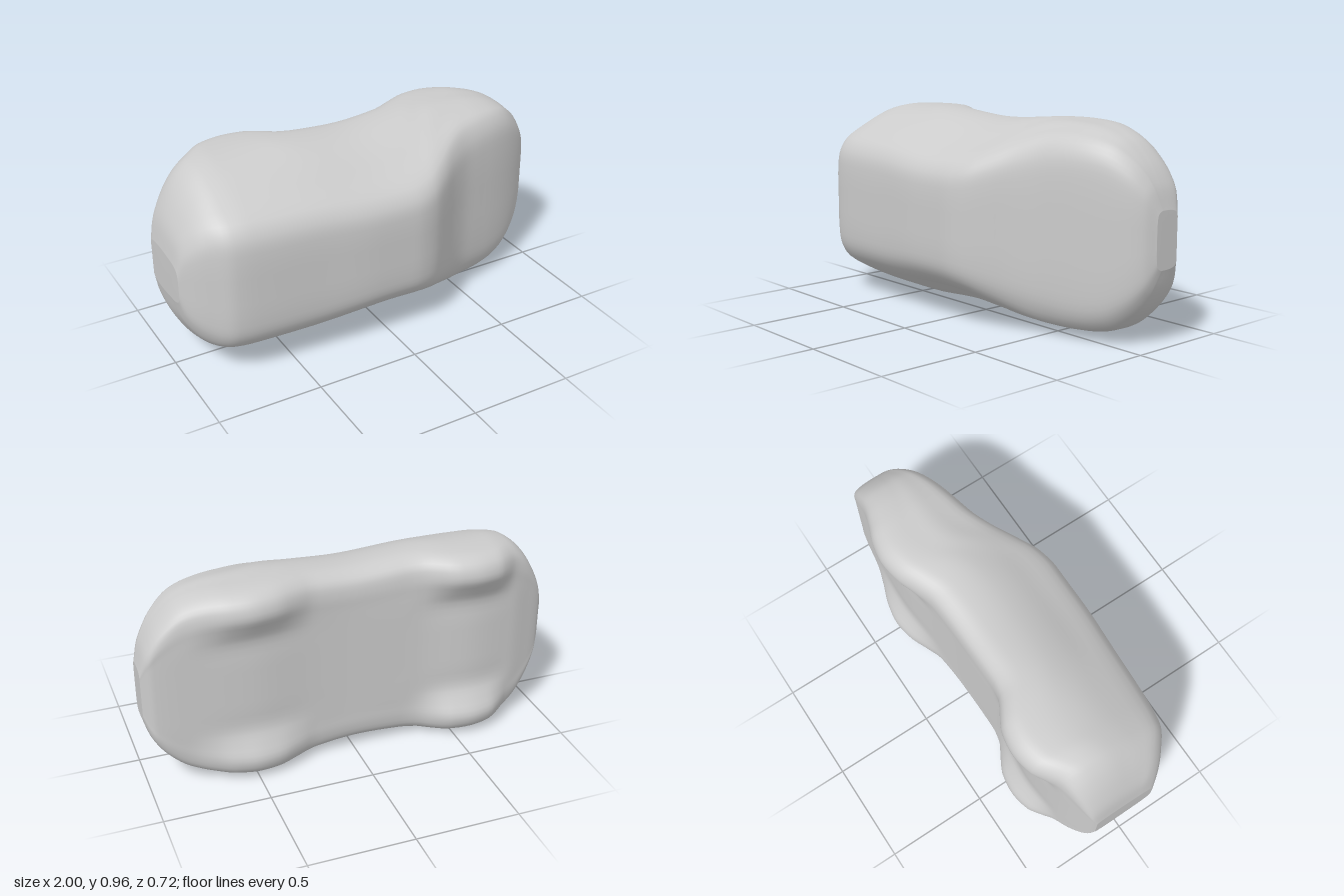
import * as THREE from 'three';

// Smooth interpolation through [x, value] pairs
function smooth(pts) {
  const n = pts.length;
  const slope = i => (pts[i + 1][1] - pts[i][1]) / (pts[i + 1][0] - pts[i][0]);
  const tangent = pts.map((p, i) => {
    if (i === 0) return slope(0);
    if (i === n - 1) return slope(n - 2);
    const a = slope(i - 1), b = slope(i);
    return a * b <= 0 ? 0 : (2 * a * b) / (a + b);
  });
  return x => {
    let i = 0;
    while (i < n - 2 && x > pts[i + 1][0]) i++;
    const h = pts[i + 1][0] - pts[i][0];
    const t = THREE.MathUtils.clamp((x - pts[i][0]) / h, 0, 1);
    const s = 1 - t;
    return pts[i][1] * (1 + 2 * t) * s * s + tangent[i] * h * t * s * s
      + pts[i + 1][1] * t * t * (3 - 2 * t) - tangent[i + 1] * h * t * t * s;
  };
}

// Half width of the body along its length
const halfWidth = smooth([[-1, 0.11], [-0.98, 0.21], [-0.95, 0.285], [-0.9, 0.37], [-0.85, 0.425],
  [-0.8, 0.455], [-0.7, 0.472], [-0.42, 0.478], [-0.02, 0.456], [0.4, 0.48], [0.6, 0.472],
  [0.7, 0.458], [0.8, 0.425], [0.9, 0.34], [0.97, 0.23], [1, 0.13]]);

// Boot, roof, windscreen and bonnet line
const topLine = smooth([[-1, 0.13], [-0.95, 0.19], [-0.9, 0.235], [-0.8, 0.302], [-0.7, 0.318],
  [-0.4, 0.337], [-0.1, 0.355], [0.1, 0.355], [0.2, 0.335], [0.3, 0.275], [0.4, 0.205],
  [0.5, 0.155], [0.6, 0.127], [0.7, 0.1], [0.8, 0.065], [0.9, 0.015], [0.97, -0.04], [1, -0.09]]);

// Underside along the centre, and along the wheels
const floorLine = smooth([[-1, -0.18], [-0.98, -0.2], [-0.9, -0.235], [-0.8, -0.267], [-0.6, -0.29],
  [-0.3, -0.26], [0, -0.262], [0.2, -0.272], [0.5, -0.298], [0.8, -0.28], [0.95, -0.26], [1, -0.22]]);
const wheelLine = smooth([[-1, -0.18], [-0.98, -0.2], [-0.9, -0.235], [-0.8, -0.27], [-0.75, -0.305],
  [-0.68, -0.346], [-0.58, -0.362], [-0.48, -0.348], [-0.4, -0.308], [-0.33, -0.27], [-0.25, -0.258],
  [0, -0.262], [0.2, -0.275], [0.3, -0.31], [0.4, -0.348], [0.5, -0.361], [0.6, -0.346],
  [0.7, -0.31], [0.8, -0.28], [0.95, -0.26], [1, -0.22]]);

// Lean of the flanks towards the roof, as a share of the half width
const flank = smooth([[-0.4, 1], [-0.1, 1], [-0.05, 0.985], [0, 0.95], [0.05, 0.91], [0.1, 0.865],
  [0.2, 0.735], [0.3, 0.615], [0.36, 0.55]]);

// Closed cross-section in (y, z) at one station
function section(x, count) {
  const w = halfWidth(x), top = topLine(x), low = wheelLine(x), mid = floorLine(x);
  const k = Math.min(0.06, 0.25 * (top - low));
  const half = [[0.25, mid], [0.48, mid], [0.63, (mid + low) / 2], [0.77, low],
    [0.9, low + 0.25 * k], [0.975, low + k]];
  for (let i = 0; i <= 4; i++) {
    const z = THREE.MathUtils.lerp(low + 2 * k, top - k, i / 4);
    half.push([flank(z), z]);
  }
  half.push([flank(top) * 0.9, top - 0.3 * k], [flank(top) * 0.65, top - 0.05 * k]);
  const loop = [[0, mid], ...half, [0, top], ...half.slice().reverse().map(([y, z]) => [-y, z])];
  const curve = new THREE.CatmullRomCurve3(
    loop.map(([y, z]) => new THREE.Vector3(x, 0.4835 + y * w, z)), true, 'centripetal');
  return Array.from({ length: count }, (_, j) => curve.getPoint(j / count));
}

// Skin over all cross-sections, closed at both ends
function bodyGeometry(stations = 90, count = 84) {
  const pos = [], idx = [];
  for (let i = 0; i <= stations; i++) {
    const x = -Math.cos((Math.PI * i) / stations);
    for (const p of section(x, count)) pos.push(p.x, p.y, p.z);
  }
  for (let i = 0; i < stations; i++) {
    for (let j = 0; j < count; j++) {
      const a = i * count + j, b = i * count + (j + 1) % count;
      idx.push(a, b, a + count, b, b + count, a + count);
    }
  }
  for (const end of [-1, 1]) {
    const centre = pos.length / 3, start = end < 0 ? 0 : stations * count;
    pos.push(end, 0.4835, (topLine(end) + floorLine(end)) / 2);
    for (let j = 0; j < count; j++) {
      const a = start + j, b = start + (j + 1) % count;
      if (end < 0) idx.push(centre, b, a);
      else idx.push(centre, a, b);
    }
  }
  const geo = new THREE.BufferGeometry();
  geo.setAttribute('position', new THREE.Float32BufferAttribute(pos, 3));
  geo.setIndex(idx);
  geo.computeVertexNormals();
  return geo;
}

export function createModel() {
  const group = new THREE.Group();
  group.name = 'car';
  const body = new THREE.Mesh(bodyGeometry(), new THREE.MeshStandardMaterial({ color: 0xcccccc }));
  body.name = 'carBody';
  group.add(body);
  return group;
}
